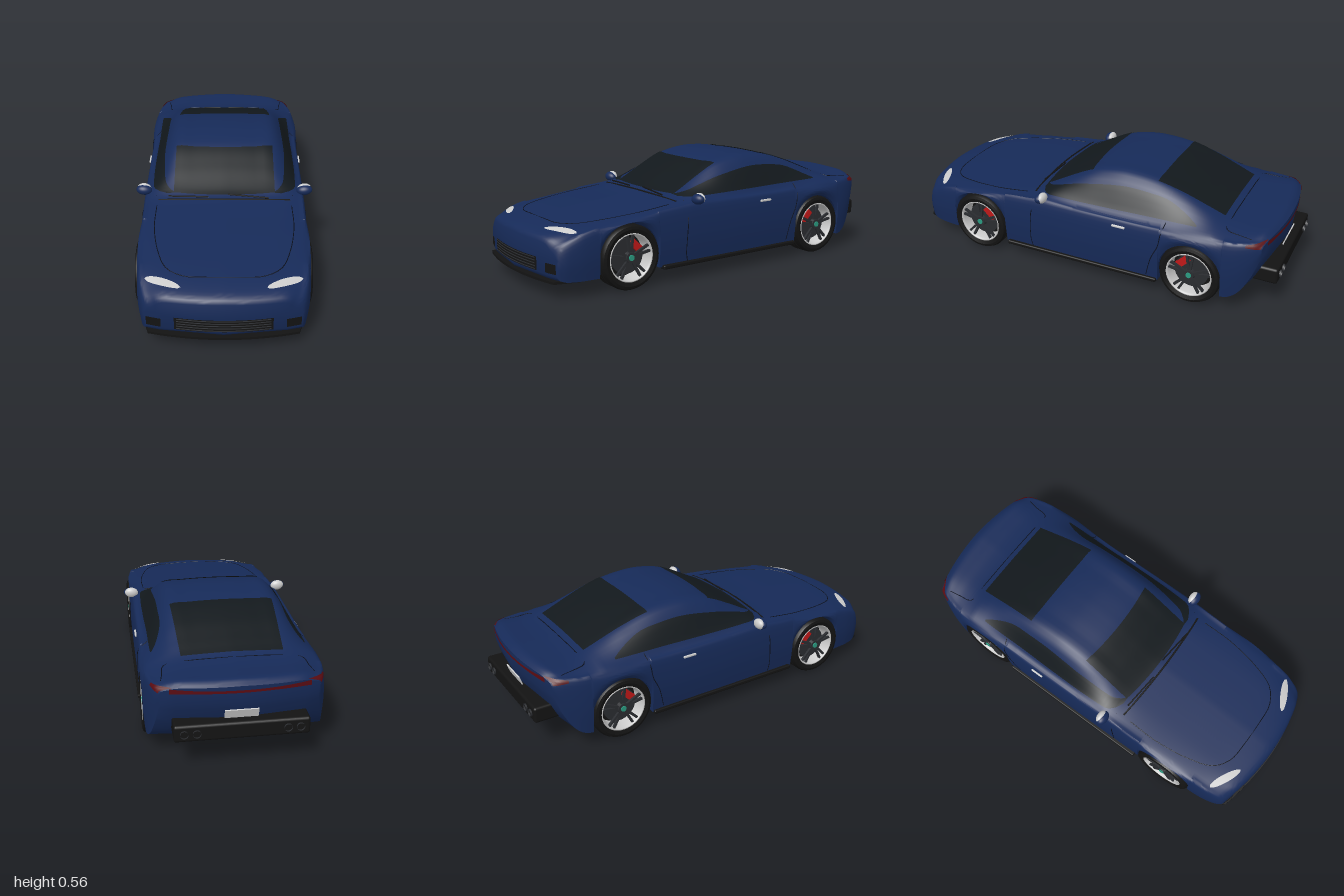
import * as THREE from 'three';
import { toCreasedNormals } from 'three/addons/utils/BufferGeometryUtils.js';
import { RoundedBoxGeometry } from 'three/addons/geometries/RoundedBoxGeometry.js';

const mat = (color) => new THREE.MeshStandardMaterial({ color, side: THREE.DoubleSide });
const PAINT = mat(0x162a58), GLASS = mat(0x12181c), BLACK = mat(0x131313), SILVER = mat(0xcccccc),
  DARK = mat(0x2a2c30), RED = mat(0xc01818), LAMP = mat(0x5a0c12), GREEN = mat(0x2a9a80), SEAM = mat(0x0a0f1c);

// Body stations: z, half width, underside, shoulder height, centreline height
const STATIONS = [
  [0.995, 0.355, 0.11, 0.2, 0.265], [0.985, 0.365, 0.092, 0.225, 0.282], [0.95, 0.38, 0.082, 0.25, 0.298],
  [0.85, 0.395, 0.08, 0.285, 0.318], [0.6, 0.405, 0.08, 0.322, 0.348], [0.4, 0.41, 0.08, 0.34, 0.368],
  [0.29, 0.412, 0.08, 0.347, 0.384], [0.24, 0.413, 0.08, 0.35, 0.402], [0.12, 0.414, 0.08, 0.35, 0.468],
  [0, 0.415, 0.08, 0.35, 0.527], [-0.1, 0.415, 0.08, 0.35, 0.552], [-0.2, 0.415, 0.08, 0.35, 0.56],
  [-0.35, 0.415, 0.08, 0.35, 0.546], [-0.5, 0.418, 0.08, 0.355, 0.503], [-0.62, 0.42, 0.08, 0.36, 0.457],
  [-0.72, 0.418, 0.08, 0.36, 0.42], [-0.8, 0.41, 0.085, 0.36, 0.41], [-0.88, 0.395, 0.13, 0.365, 0.413],
  [-0.94, 0.375, 0.22, 0.37, 0.414], [-0.97, 0.355, 0.31, 0.365, 0.395],
];
const AXLES = [0.59, -0.59], WHEEL_Y = 0.155, ARCH = 0.16;

// Smooth (Hermite) lookup in a table sorted by falling first column
function lookup(table, s, col) {
  let i = 0;
  while (i < table.length - 2 && s < table[i + 1][0]) i++;
  const slope = (k) => {
    const a = table[Math.max(k - 1, 0)], b = table[Math.min(k + 1, table.length - 1)];
    return (b[col] - a[col]) / (b[0] - a[0]);
  };
  const p = table[i], q = table[i + 1], d = q[0] - p[0];
  const t = THREE.MathUtils.clamp((s - p[0]) / d, 0, 1), t2 = t * t, t3 = t2 * t;
  return p[col] * (2 * t3 - 3 * t2 + 1) + q[col] * (3 * t2 - 2 * t3)
    + d * (slope(i) * (t3 - 2 * t2 + t) + slope(i + 1) * (t3 - t2));
}

// Nose and tail bow back toward the corners
function point(x, y, s) {
  const k = THREE.MathUtils.smoothstep(Math.abs(s), 0.72, 1);
  return new THREE.Vector3(x, y, s - Math.sign(s) * 0.07 * k * (x / 0.4) ** 2);
}

// Half cross-section: flat floor, wheel well, then a curve from sill to centreline
function section(s) {
  const [w, floor, sh, top] = [1, 2, 3, 4].map((c) => lookup(STATIONS, s, c));
  let low = floor;
  for (const a of AXLES) {
    const d = Math.abs(s - a);
    if (d <= ARCH) low = Math.max(low, WHEEL_Y + Math.sqrt(ARCH * ARCH - d * d));
  }
  const edge = top - 0.006 - 0.08 * (top - sh);
  const curve = new THREE.SplineCurve([
    [w * 0.975, low], [w, low + (sh - low) * 0.5], [w * 0.975, sh],
    [w - 0.045, sh + Math.min(0.03, (top - sh) * 0.4)], [0.27, edge], [0.15, top - 0.004], [0, top],
  ].map(([x, y]) => new THREE.Vector2(x, y))).getPoints(30);
  return { curve, floor, low };
}

// Points lying on the body skin, found from above or from the side
function onTop(x, s, lift = 0.004) {
  const { curve } = section(s), ax = Math.abs(x);
  let i = curve.length - 1;
  while (i > 1 && curve[i - 1].x < ax) i--;
  const a = curve[i], b = curve[i - 1];
  return point(x, THREE.MathUtils.lerp(a.y, b.y, (ax - a.x) / (b.x - a.x)) + lift, s);
}
function onSide(side, y, s, lift = 0.004) {
  const { curve } = section(s);
  let i = 0;
  while (i < curve.length - 2 && curve[i + 1].y < y) i++;
  const a = curve[i], b = curve[i + 1], t = THREE.MathUtils.clamp((y - a.y) / (b.y - a.y), 0, 1);
  return point(side * (THREE.MathUtils.lerp(a.x, b.x, t) + lift), y + lift * 0.4, s);
}

// Surface through equal rows of points
function skin(rows) {
  const n = rows[0].length, index = [];
  for (let i = 0; i < rows.length - 1; i++)
    for (let j = 0; j < n - 1; j++) {
      const a = i * n + j, c = a + n;
      index.push(a, c, a + 1, a + 1, c, c + 1);
    }
  const g = new THREE.BufferGeometry().setFromPoints(rows.flat());
  g.setIndex(index);
  g.computeVertexNormals();
  return g;
}
const patch = (nu, nv, f) => skin(Array.from({ length: nu + 1 }, (_, i) =>
  Array.from({ length: nv + 1 }, (_, j) => f(i / nu, j / nv))));

function bodyGeometry() {
  const stops = [];
  for (let i = 0; i <= 120; i++) stops.push(0.995 - (1.965 * i) / 120);
  for (const s of [0.99, 0.985, 0.97, -0.96]) stops.push(s);
  for (const a of AXLES)
    for (const e of [-1, 1]) stops.push(...[0.1605, 0.16, 0.157, 0.15].map((d) => a + e * d));
  stops.sort((a, b) => b - a);
  const rings = stops.map((s) => {
    const { curve, floor, low } = section(s);
    const half = [[0, floor], [0.285, floor], [0.285, low], ...curve.map((p) => [p.x, p.y])];
    return [...half, ...half.slice(0, -1).reverse().map(([x, y]) => [-x, y])].map(([x, y]) => point(x, y, s));
  });
  const flatten = (ring, y) => ring.map((p) => new THREE.Vector3(p.x, y, p.z));
  return toCreasedNormals(skin([flatten(rings[0], 0.19), ...rings, flatten(rings.at(-1), 0.355)]), 0.65);
}

export function createModel() {
  const car = new THREE.Group();
  const add = (name, geo, material, pos = [0, 0, 0], parent = car) => {
    const m = new THREE.Mesh(geo, material);
    m.name = name;
    m.position.set(...pos);
    parent.add(m);
    return m;
  };
  const box = (w, h, d) => new THREE.BoxGeometry(w, h, d);
  const line = (name, pts, r = 0.0022, m = SEAM) =>
    add(name, new THREE.TubeGeometry(new THREE.CatmullRomCurve3(pts, false, 'centripetal'), 48, r, 5), m);
  const lerp = THREE.MathUtils.lerp;

  add('body', bodyGeometry(), PAINT);

  // Windscreen and rear window
  const screen = (name, s0, s1, w0, w1, bow) => add(name, patch(16, 20, (u, v) => {
    const x = (2 * v - 1) * lerp(w0, w1, u);
    return onTop(x, lerp(s0, s1, u) - bow * (x / 0.25) ** 2);
  }), GLASS);
  screen('windscreen', 0.27, 0.01, 0.255, 0.25, 0.02);
  screen('rearWindow', -0.36, -0.7, 0.25, 0.235, 0);

  // Front face: grille and corner vents
  const face = (name, x0, x1, y0, y1) => add(name, patch(16, 2, (u, v) => {
    const p = point(lerp(x0, x1, u), lerp(y0, y1, v), 0.995);
    p.z += 0.003;
    return p;
  }), BLACK);
  face('grille', -0.22, 0.22, 0.118, 0.182);
  for (let i = 0; i < 5; i++) line('grilleBar', [-0.21, -0.1, 0, 0.1, 0.21].map((x) =>
    point(x, 0.124 + i * 0.013, 0.999)), 0.0025, DARK);

  for (const side of [-1, 1]) {
    face('cornerVent', side * 0.28, side * 0.347, 0.12, 0.165);
    // Side glass
    const hi = [[0.25, 0.39], [0.12, 0.435], [0, 0.468], [-0.2, 0.497], [-0.38, 0.487], [-0.46, 0.468], [-0.6, 0.405]];
    add('sideWindow', patch(40, 8, (u, v) => {
      const s = lerp(0.25, -0.6, u);
      return onSide(side, lerp(lerp(0.386, 0.4, u), lookup(hi, s, 1), v), s, 0.005);
    }), GLASS);
    // Headlamp: a slanted teardrop on the front wing
    add('headlamp', patch(16, 6, (u, v) => {
      const h = 0.03 * Math.sqrt(Math.max(0, 1 - (2 * u - 1) ** 2)) * (1 - 0.3 * u);
      return onTop(side * lerp(0.355, 0.19, u), lerp(0.875, 0.93, u) + (2 * v - 1) * h, 0.005);
    }), SILVER);
    // Tail lamp corner
    add('tailLampCorner', patch(8, 3, (u, v) =>
      onSide(side, 0.37 + (v - 0.5) * lerp(0.03, 0.012, u), lerp(-0.967, -0.89, u))), LAMP);
    // Door seams and handle
    line('doorFrontSeam', [0.375, 0.3, 0.22, 0.13, 0.09].map((y, i) =>
      onSide(side, y, [0.25, 0.268, 0.275, 0.278, 0.27][i], 0)));
    line('doorRearSeam', [[0.39, -0.45], [0.34, -0.44], [0.28, -0.43], [0.2, -0.395], [0.1, -0.37]]
      .map(([y, s]) => onSide(side, y, s, 0)));
    add('doorHandle', new RoundedBoxGeometry(0.01, 0.012, 0.07, 2, 0.004), SILVER, onSide(side, 0.33, -0.22, 0.003).toArray());
    // Sill
    add('sideSkirt', new RoundedBoxGeometry(0.04, 0.02, 0.84, 2, 0.006), BLACK, [side * 0.4, 0.08, -0.005]);
    // Door mirror
    const mirror = new THREE.Group();
    mirror.name = 'doorMirror';
    mirror.position.set(side * 0.407, 0.385, 0.21);
    mirror.rotation.z = side * 0.1;
    car.add(mirror);
    add('mirrorShell', new THREE.SphereGeometry(1, 24, 16), PAINT, [0, 0, 0], mirror).scale.set(0.04, 0.026, 0.027);
    add('mirrorGlass', new THREE.SphereGeometry(1, 24, 16), SILVER, [0, 0.003, -0.01], mirror).scale.set(0.036, 0.027, 0.021);
    add('mirrorArm', box(0.06, 0.012, 0.02), BLACK, [-side * 0.035, -0.015, 0], mirror);
    // Wipers
    line('wiper', [0, 0.1, 0.2].map((x, i) => onTop(side * 0.02 + x - (side < 0 ? 0.26 : 0), 0.275 + i * 0.008, 0.009)), 0.004, BLACK);
    // Twin exhausts
    for (const x of [0.2, 0.255]) {
      const pipe = add('exhaust', new THREE.CylinderGeometry(0.018, 0.018, 0.02, 20, 1, true), DARK, [side * x, 0.19, -0.988]);
      pipe.rotation.x = Math.PI / 2;
    }
  }

  // Bonnet and boot seams
  const seam = (name, half) => line(name, [...half, ...half.slice().reverse().map(([x, s]) => [-x, s])]
    .map(([x, s]) => onTop(x, s, 0)));
  seam('bonnetSeam', [[0.335, 0.33], [0.335, 0.5], [0.305, 0.68], [0.26, 0.8], [0.18, 0.855], [0.08, 0.86]]);
  seam('bootSeam', [[0.34, -0.9], [0.33, -0.82], [0.315, -0.735], [0.2, -0.73], [0.08, -0.73]]);
  line('cowl', [-0.33, -0.2, 0, 0.2, 0.33].map((x) => onTop(x, 0.3 - 0.15 * x * x, 0)), 0.005, BLACK);

  // Tail light bar, number plate and rear diffuser
  add('tailLightBar', patch(24, 2, (u, v) => {
    const x = (2 * u - 1) * 0.31, p = point(x, 0.37 + (v - 0.5) * (0.012 + 0.012 * Math.abs(x / 0.31) ** 3), -0.97);
    p.z -= 0.003;
    return p;
  }), LAMP);
  add('numberPlate', box(0.15, 0.045, 0.006), SILVER, [0, 0.258, -0.958]).rotation.x = -0.32;
  add('diffuser', new RoundedBoxGeometry(0.6, 0.08, 0.13, 2, 0.012), BLACK, [0, 0.19, -0.925]);

  // Front splitter
  const plan = new THREE.Shape();
  plan.moveTo(-0.375, 0.84);
  plan.lineTo(-0.34, 0.955);
  plan.quadraticCurveTo(0, 1.045, 0.34, 0.955);
  plan.lineTo(0.375, 0.84);
  add('splitter', new THREE.ExtrudeGeometry(plan, { depth: 0.012, bevelEnabled: false, curveSegments: 24 }), BLACK,
    [0, 0.087, 0]).rotation.x = Math.PI / 2;

  // Wheels, built with the axle along x and the outside toward +x
  const across = (g) => g.rotateZ(-Math.PI / 2);
  const lathe = (pts) => across(new THREE.LatheGeometry(pts.map(([r, y]) => new THREE.Vector2(r, y)), 48));
  const tread = [];
  for (const y of [-0.024, 0, 0.024])
    tread.push([0.155, y - 0.005], [0.15, y - 0.003], [0.15, y + 0.003], [0.155, y + 0.005]);
  const tyre = toCreasedNormals(lathe([[0.112, -0.05], [0.135, -0.058], [0.148, -0.054], [0.155, -0.04], ...tread,
    [0.155, 0.04], [0.148, 0.054], [0.135, 0.058], [0.112, 0.05]]), 0.6);
  const rim = lathe([[0.108, -0.05], [0.1, 0], [0.106, 0.04], [0.11, 0.052], [0.116, 0.052], [0.116, 0.045]]);
  for (const z of AXLES)
    for (const side of [-1, 1]) {
      const wheel = new THREE.Group();
      wheel.name = (z > 0 ? 'front' : 'rear') + (side > 0 ? 'Left' : 'Right') + 'Wheel';
      wheel.position.set(side * 0.357, WHEEL_Y, z);
      wheel.rotation.y = side > 0 ? 0 : Math.PI;
      car.add(wheel);
      add('tyre', tyre, BLACK, [0, 0, 0], wheel);
      add('rim', rim, SILVER, [0, 0, 0], wheel);
      add('brakeDisc', across(new THREE.CylinderGeometry(0.085, 0.085, 0.012, 40)), DARK, [0.005, 0, 0], wheel);
      add('wheelBack', across(new THREE.CylinderGeometry(0.106, 0.106, 0.006, 40)), BLACK, [-0.035, 0, 0], wheel);
      const caliper = add('brakeCaliper', box(0.026, 0.034, 0.075), RED, [0.012, 0.045, -Math.sign(z) * side * 0.045], wheel);
      caliper.rotation.x = -Math.sign(z) * side * Math.PI / 4;
      for (let i = 0; i < 5; i++)
        for (const e of [-0.14, 0.14]) {
          const spoke = box(0.012, 0.092, 0.012).translate(0, 0.064, 0);
          add('spoke', spoke, DARK, [0.04, 0, 0], wheel).rotation.x = (i / 5) * Math.PI * 2 + e;
        }
      add('hub', across(new THREE.CylinderGeometry(0.026, 0.03, 0.02, 24)), DARK, [0.04, 0, 0], wheel);
      add('hubCap', across(new THREE.CylinderGeometry(0.014, 0.014, 0.006, 20)), GREEN, [0.052, 0, 0], wheel);
    }
  return car;
}
